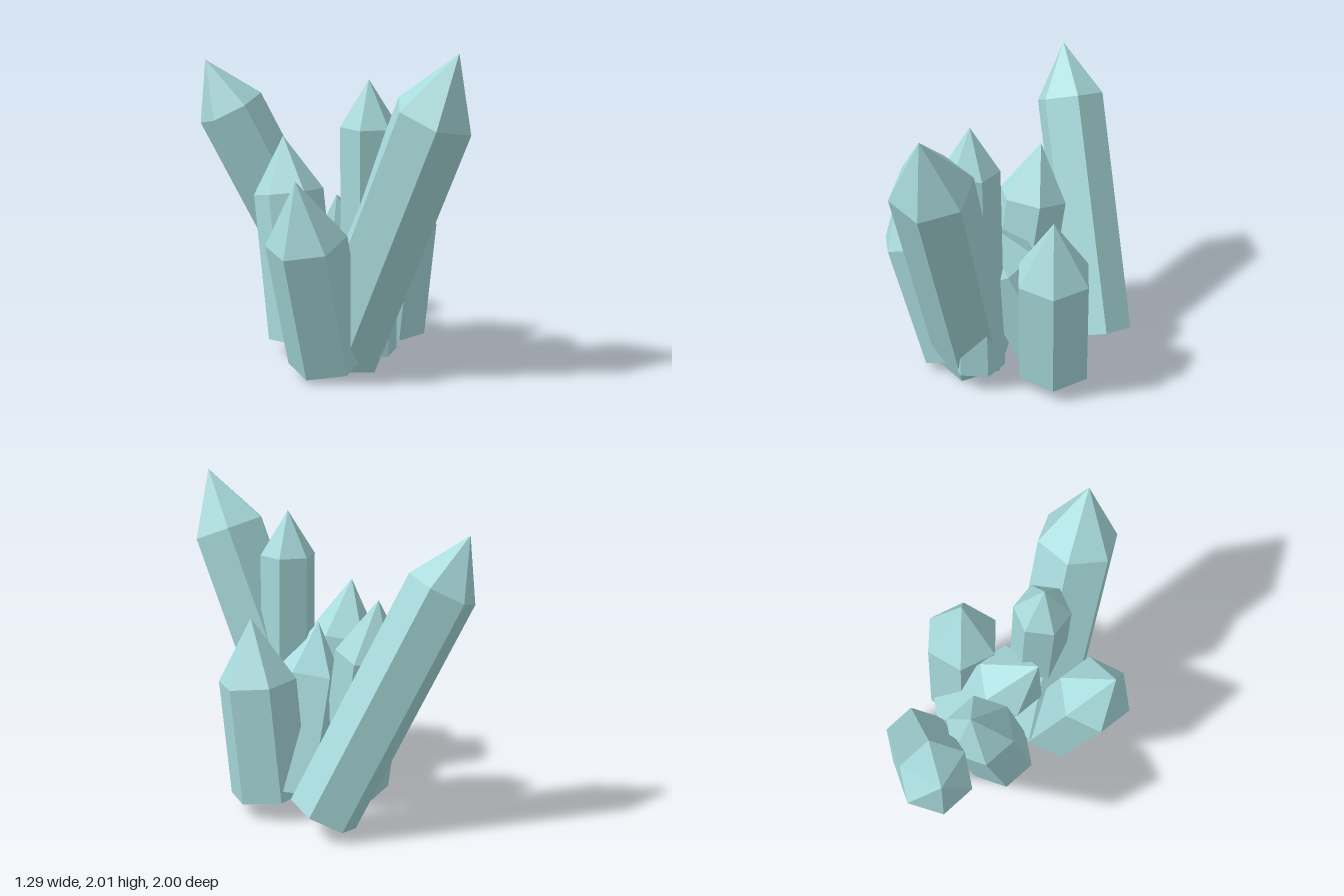
import * as THREE from 'three';

const paleAqua = new THREE.MeshStandardMaterial({ color: 0xa8dadc, flatShading: true });
paleAqua.name = 'paleAqua';

// Six-sided prism with a pointed end, running from the base centre to the tip.
// corner is the [x, z] offset of one corner from the axis and sets the roll.
function crystal(name, base, tip, radius, corner) {
  const start = new THREE.Vector3(...base);
  const axis = new THREE.Vector3(...tip).sub(start);
  const length = axis.length();
  axis.normalize();
  const shoulder = length - 1.6 * radius;

  const profile = [[0, 0], [radius, 0], [radius, shoulder], [0, length]]
    .map(([x, y]) => new THREE.Vector2(x, y));
  const mesh = new THREE.Mesh(new THREE.LatheGeometry(profile, 6), paleAqua);
  mesh.name = name;

  const [cx, cz] = corner;
  const forward = new THREE.Vector3(cx, -(cx * axis.x + cz * axis.z) / axis.y, cz).normalize();
  const side = new THREE.Vector3().crossVectors(axis, forward);
  mesh.quaternion.setFromRotationMatrix(new THREE.Matrix4().makeBasis(side, axis, forward));
  mesh.position.copy(start);
  return mesh;
}

export function createModel() {
  const group = new THREE.Group();
  group.name = 'crystalCluster';
  group.add(
    // Tall crystals
    crystal('tallFrontCrystal', [-0.12, 0.1, 0.25], [0.28, 2.0, 0.91], 0.25, [0.25, -0.02]),
    crystal('tallBackCrystal', [0.255, 0.115, -0.505], [-0.525, 1.81, -0.85], 0.22, [0.175, 0.09]),
    crystal('slimCentreCrystal', [0.03, 0.115, 0.33], [0.01, 1.8, 0.35], 0.175, [0.165, 0.05]),
    // Shorter crystals
    crystal('frontRightCrystal', [-0.24, 0.09, 0.3], [-0.54, 1.26, 0.47], 0.245, [0, 0.24]),
    crystal('leftCrystal', [0.36, 0.11, -0.02], [0.435, 1.23, 0.06], 0.245, [0.235, -0.08]),
    crystal('backRightCrystal', [-0.185, 0.1, -0.14], [-0.2, 1.36, -0.385], 0.222, [0, 0.22]),
    crystal('innerCrystal', [0.26, 0.1, -0.11], [-0.13, 1.09, 0.21], 0.235, [-0.02, -0.23]),
  );
  return group;
}
